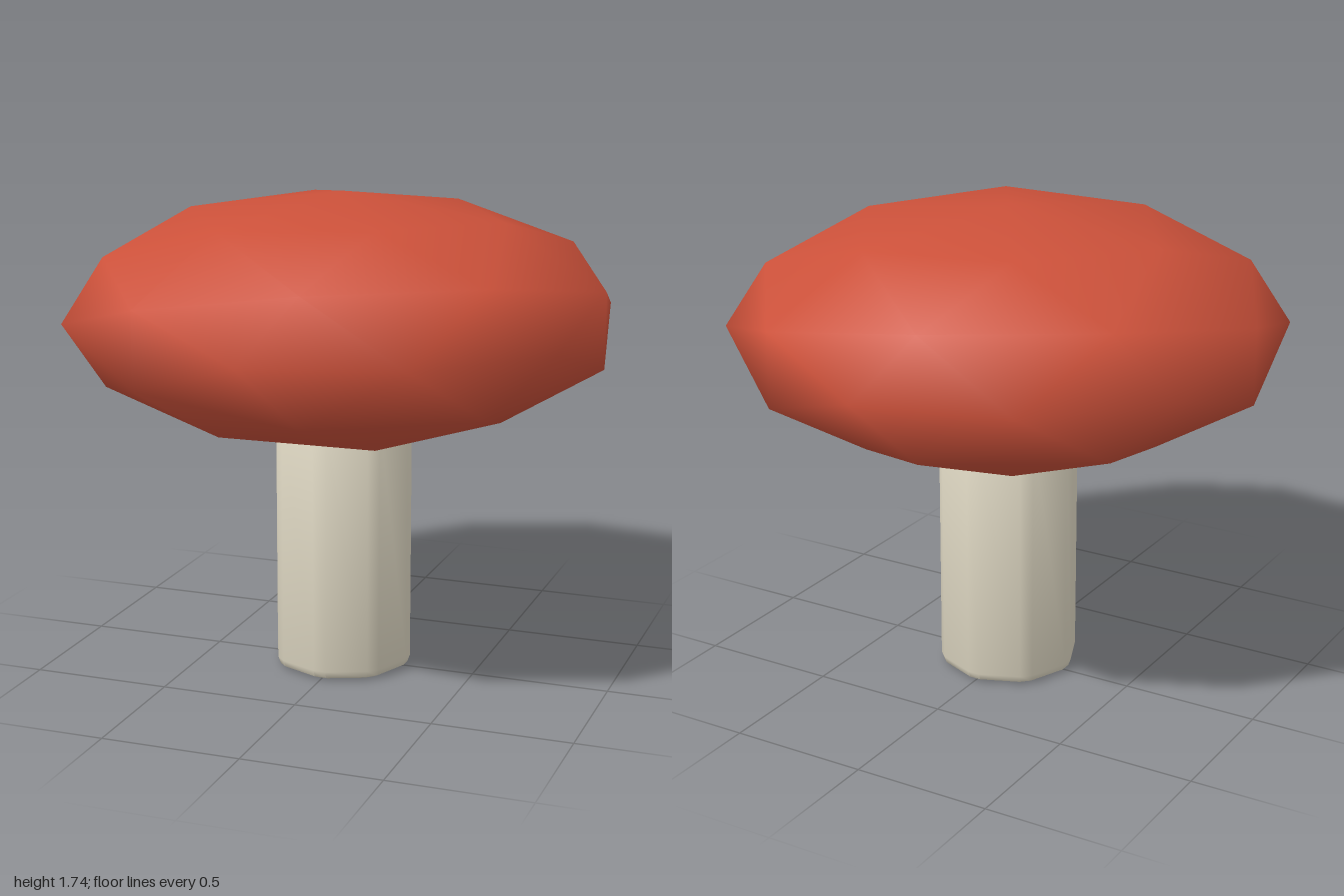
import * as THREE from 'three';
import { toCreasedNormals } from 'three/addons/utils/BufferGeometryUtils.js';

// Octagon with narrow chamfers at its corners
function stemOutline(radius, chamfer) {
  const corner = i => new THREE.Vector2(Math.cos(i * Math.PI / 4), Math.sin(i * Math.PI / 4)).multiplyScalar(radius);
  const points = [];
  for (let i = 0; i < 8; i++) {
    for (const side of [-1, 1]) {
      const step = corner(i + side).sub(corner(i)).setLength(chamfer);
      points.push(corner(i).add(step));
    }
  }
  return new THREE.Shape(points);
}

export function createModel() {
  const model = new THREE.Group();
  model.name = 'mushroom';

  // Cap: low-poly icosphere, one vertex pointing along +z, squashed in height
  const capGeometry = new THREE.IcosahedronGeometry(1, 1);
  capGeometry.rotateX(Math.atan(2 / (1 + Math.sqrt(5))));
  capGeometry.rotateZ(Math.PI / 2);
  capGeometry.scale(1, 0.437, 1);
  const cap = new THREE.Mesh(capGeometry, new THREE.MeshStandardMaterial({ color: 0xcc513a }));
  cap.name = 'cap';
  cap.position.y = 1.303;
  model.add(cap);

  // Stem: chamfered octagonal post with rounded ends, its top sunk into the cap
  const height = 1.0, bevel = 0.035;
  const stemGeometry = new THREE.ExtrudeGeometry(stemOutline(0.262, 0.025), {
    depth: height - 2 * bevel,
    bevelThickness: bevel,
    bevelSize: 0.03,
    bevelOffset: -0.03,
    bevelSegments: 2,
  });
  stemGeometry.translate(0, 0, bevel);
  stemGeometry.rotateX(-Math.PI / 2);
  const stem = new THREE.Mesh(toCreasedNormals(stemGeometry, 0.8), new THREE.MeshStandardMaterial({ color: 0xe0d9c4 }));
  stem.name = 'stem';
  model.add(stem);

  return model;
}
